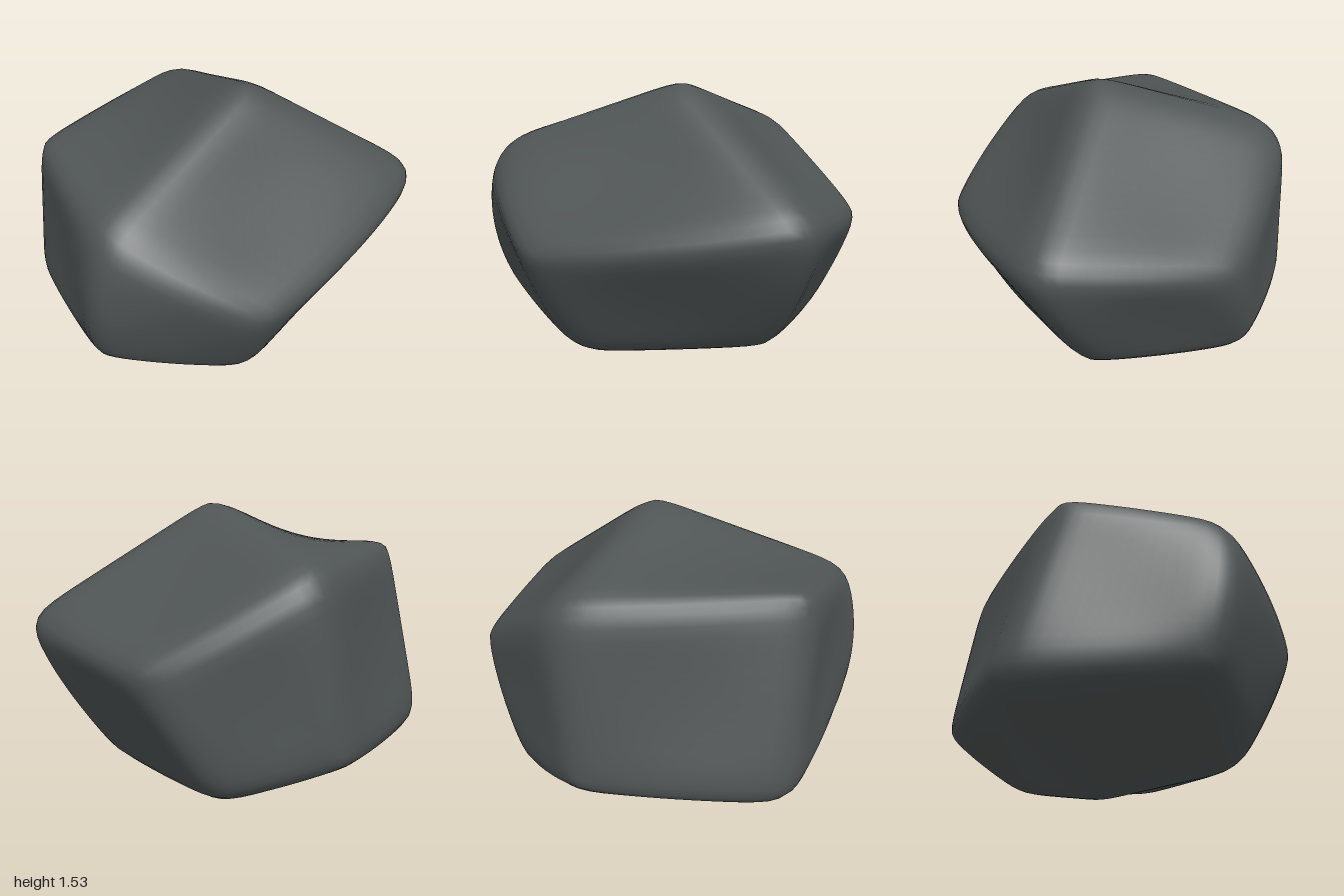
import * as THREE from 'three';

// Rock corners: twelve four-sided facets meet at these fourteen points
const CORNERS = {
  top: [0.15, 1.53, -0.05],
  backLeftHigh: [-0.52, 1.25, -0.67],
  frontLeftHigh: [-0.77, 1.27, 0.42],
  frontHigh: [-0.16, 1.16, 0.9],
  frontRight: [0.54, 0.74, 0.71],
  right: [0.955, 0.96, -0.49],
  back: [0.2, 0.84, -0.98],
  left: [-0.955, 0.34, 0.29],
  backLeftLow: [-0.68, 0.4, -0.66],
  frontLow: [-0.28, 0.39, 0.89],
  frontRightLow: [0.34, 0.17, 0.49],
  rightLow: [0.57, 0.25, -0.42],
  backLow: [-0.1, 0.23, -0.84],
  bottom: [-0.16, 0, -0.02],
};

// Facets, each with how far its middle is hollowed
const FACETS = [
  ['top backLeftHigh frontLeftHigh frontHigh', 0.12],
  ['top frontHigh frontRight right', 0.22],
  ['top right back backLeftHigh', 0.12],
  ['frontLeftHigh left frontLow frontHigh', 0.1],
  ['backLeftHigh backLeftLow left frontLeftHigh', 0.06],
  ['frontHigh frontLow frontRightLow frontRight', 0.05],
  ['frontRight frontRightLow rightLow right', 0.08],
  ['right rightLow backLow back', 0.08],
  ['back backLow backLeftLow backLeftHigh', 0.06],
  ['bottom frontRightLow frontLow left', 0.06],
  ['bottom left backLeftLow backLow', 0.06],
  ['bottom backLow rightLow frontRightLow', 0.04],
].map(([names, hollow]) => ({ names: names.split(' '), hollow }));

// Ridges that swell outward more or less than the rest
const RIDGE_BOW = 0.05;
const BOWS = {
  'frontHigh frontLow': 0.13,
  'frontHigh frontRight': 0.08,
  'frontRight right': 0.12,
  'right rightLow': 0.08,
  'frontLeftHigh left': 0.02,
  'backLeftHigh backLeftLow': 0.02,
  'backLeftHigh top': 0,
};
const bow = (a, b) => BOWS[[a, b].sort().join(' ')] ?? RIDGE_BOW;

const N = 16; // grid cells along each facet edge
const BLUR = 10; // smoothing passes that round the ridges

// Grid every facet, weld the shared edges, then soften the ridges
function buildSurface(corners) {
  const points = [];
  const links = [];
  const index = [];
  const lookup = new Map();
  const weld = (p) => {
    const key = p.toArray().map((v) => Math.round(v * 1e5)).join();
    if (!lookup.has(key)) {
      lookup.set(key, points.length);
      points.push(p);
      links.push(new Set());
    }
    return lookup.get(key);
  };
  const arch = (t) => 4 * t * (1 - t);
  const mix = THREE.MathUtils.lerp;

  for (const { names, hollow } of FACETS) {
    const [a, b, c, d] = names.map((name) => corners[name]);
    const [ab, bc, cd, da] = names.map((name, i) => bow(name, names[(i + 1) % 4]));
    const grid = [];
    for (let i = 0; i <= N; i++) {
      for (let j = 0; j <= N; j++) {
        const u = i / N, v = j / N;
        const p = a.clone().lerp(b, u).lerp(d.clone().lerp(c, u), v);
        const swell = 1 + arch(u) * mix(ab, cd, v) + arch(v) * mix(da, bc, u)
          - hollow * arch(u) * arch(v);
        p.x *= swell;
        p.z *= swell;
        grid.push(weld(p));
      }
    }
    for (let i = 0; i < N; i++) {
      for (let j = 0; j < N; j++) {
        const k = i * (N + 1) + j;
        const q = [grid[k], grid[k + N + 1], grid[k + N + 2], grid[k + 1]];
        index.push(q[0], q[1], q[2], q[0], q[2], q[3]);
        q.forEach((id, n) => {
          const next = q[(n + 1) % 4];
          links[id].add(next);
          links[next].add(id);
        });
      }
    }
  }

  const ids = {};
  for (const name in corners) ids[name] = weld(corners[name].clone());

  let smooth = points;
  for (let pass = 0; pass < BLUR; pass++) {
    smooth = smooth.map((p, i) => {
      const mean = new THREE.Vector3();
      links[i].forEach((n) => mean.add(smooth[n]));
      return mean.divideScalar(links[i].size).lerp(p, 0.5);
    });
  }
  return { smooth, index, ids };
}

function rockGeometry() {
  const targets = {};
  const corners = {};
  for (const name in CORNERS) {
    targets[name] = new THREE.Vector3(...CORNERS[name]);
    corners[name] = targets[name].clone();
  }
  // Push the corners out to make up for what smoothing takes away
  let surface = buildSurface(corners);
  for (let round = 0; round < 2; round++) {
    for (const name in corners) {
      corners[name].add(targets[name]).sub(surface.smooth[surface.ids[name]]);
    }
    surface = buildSurface(corners);
  }

  const geometry = new THREE.BufferGeometry().setFromPoints(surface.smooth);
  geometry.setIndex(surface.index);
  geometry.computeVertexNormals();
  return geometry;
}

export function createModel() {
  const stone = new THREE.MeshStandardMaterial({ color: 0x4f5454 });
  stone.name = 'dark grey stone';

  const rock = new THREE.Mesh(rockGeometry(), stone);
  rock.name = 'rock';

  const model = new THREE.Group();
  model.name = 'boulder';
  model.add(rock);
  return model;
}
